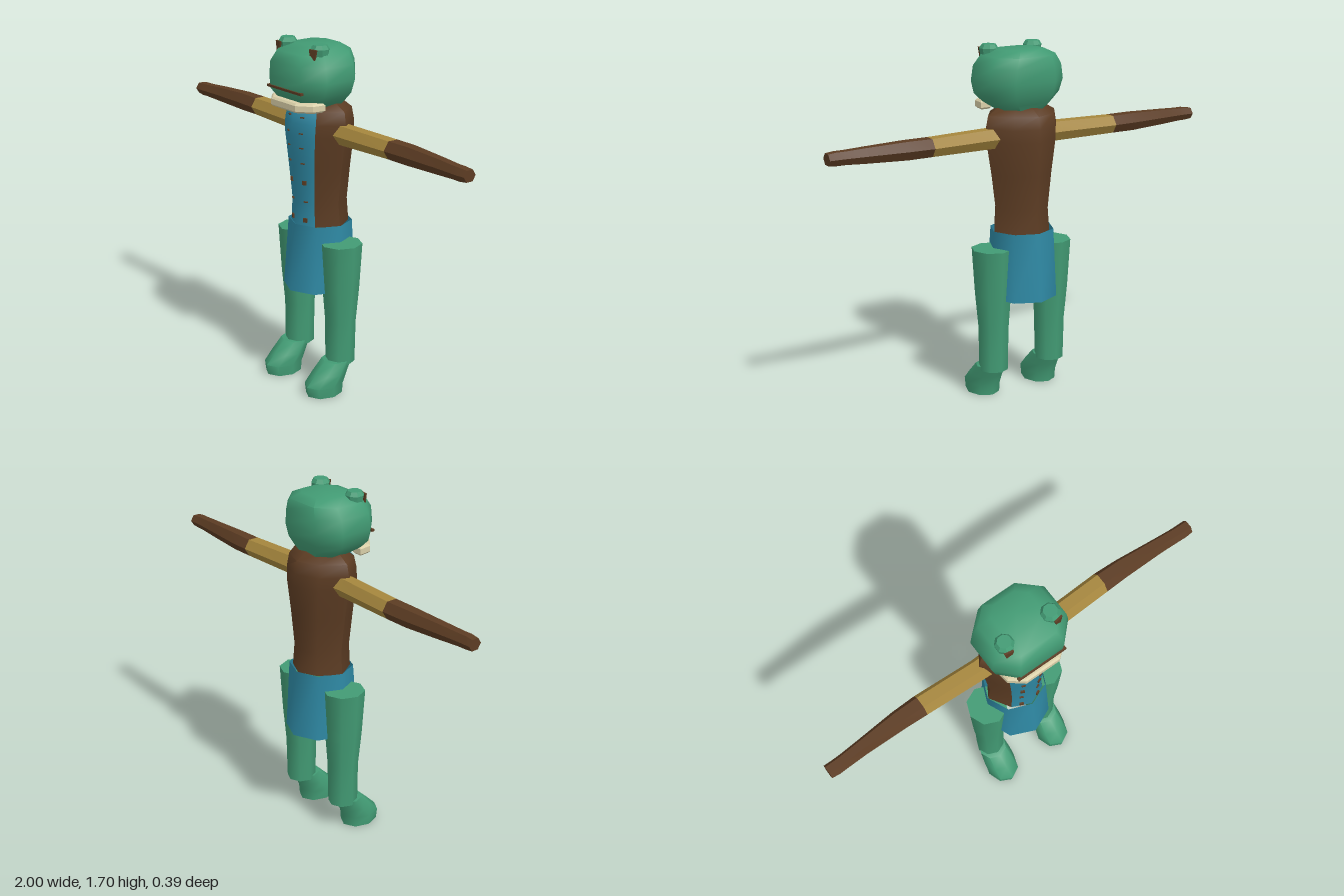
import * as THREE from 'three';
import { toCreasedNormals } from 'three/addons/utils/BufferGeometryUtils.js';

const material = (name, color, side = THREE.FrontSide) => {
  const m = new THREE.MeshStandardMaterial({ color, side });
  m.name = name;
  return m;
};

// Regular plan of n corners, starting at the front and turning towards +x
const polygon = (n, start = 0) => Array.from({ length: n }, (_, i) => {
  const a = start + (i / n) * Math.PI * 2;
  return [Math.sin(a), Math.cos(a)];
});

// Loft a plan through rings [y, centreX, halfWidth, zFront, zBack].
// The columns listed in "accent" use material 1, the rest material 0.
function loft(rings, plan, { caps = true, crease = 1, accent = [] } = {}) {
  const n = plan.length;
  const pts = rings.map(([y, cx, rx, zf, zb]) => plan.map(([u, w]) =>
    [cx + rx * u, y, (zf + zb) / 2 + ((zf - zb) / 2) * w]));
  const mid = ([y, cx, , zf, zb]) => [cx, y, (zf + zb) / 2];
  const parts = [[], []];
  for (let i = 0; i < n; i++) {
    const k = (i + 1) % n;
    const out = parts[accent.includes(i) ? 1 : 0];
    for (let j = 0; j + 1 < rings.length; j++) {
      const a = pts[j][i], b = pts[j][k], c = pts[j + 1][k], d = pts[j + 1][i];
      out.push(...a, ...b, ...c, ...a, ...c, ...d);
    }
    if (caps) {
      const top = pts[rings.length - 1];
      parts[0].push(...mid(rings[rings.length - 1]), ...top[i], ...top[k]);
      parts[0].push(...mid(rings[0]), ...pts[0][k], ...pts[0][i]);
    }
  }
  const g = new THREE.BufferGeometry();
  g.setAttribute('position', new THREE.Float32BufferAttribute(parts.flat(), 3));
  if (accent.length) {
    const count = parts[0].length / 3;
    g.addGroup(0, count, 0);
    g.addGroup(count, parts[1].length / 3, 1);
  }
  return toCreasedNormals(g, crease);
}

export function createModel() {
  const model = new THREE.Group();
  model.name = 'frogFigure';
  const green = material('skinGreen', 0x429b74);
  const brown = material('coatBrown', 0x5c3c23);
  const blue = material('clothBlue', 0x2e88a3, THREE.DoubleSide);
  const gold = material('sleeveGold', 0xa5863d);
  const cream = material('collarCream', 0xd9cfa8);
  const add = (name, geometry, mat, parent = model) => {
    const m = new THREE.Mesh(geometry, mat);
    m.name = name;
    parent.add(m);
    return m;
  };

  const octagon = polygon(8);

  // Coat with a blue front panel
  const bodyPlan = octagon.map(([u, w], i) => [i % 2 ? u * 0.84 : u, w]);
  add('torso', loft([
    [0.82, 0, 0.153, 0.125, -0.16],
    [0.93, 0, 0.143, 0.122, -0.153],
    [1.1, 0, 0.165, 0.137, -0.166],
    [1.26, 0, 0.192, 0.15, -0.18],
    [1.32, 0, 0.195, 0.145, -0.175],
    [1.38, 0, 0.183, 0.13, -0.163],
    [1.415, 0, 0.12, 0.08, -0.105],
  ], bodyPlan, { accent: [0, 7] }), [brown, blue]);

  // Open skirt
  add('skirt', loft([
    [0.495, 0, 0.168, 0.162, -0.192],
    [0.825, 0, 0.156, 0.13, -0.168],
  ], octagon, { caps: false }), blue);

  // Coat buttons in two columns
  const panelZ = (y) => y > 0.93 ? 0.122 + (Math.min(y, 1.26) - 0.93) * 0.085 - Math.max(0, y - 1.26) * 0.12 : 0.124;
  [1.35, 1.275, 1.205, 1.13, 1.035, 0.94, 0.85].forEach((y) => {
    const big = y === 1.035 || y === 0.85;
    for (const s of [-1, 1]) {
      const b = add('button', new THREE.BoxGeometry(0.02, big ? 0.02 : 0.005, 0.009), brown);
      b.position.set(s * 0.047, y, panelZ(y) - 0.018);
      b.rotation.y = s * 0.4;
    }
  });

  // Head
  const headPlan = [[0.58, 1], [1, 0.48], [1, -0.5], [0.53, -1],
    [-0.53, -1], [-1, -0.5], [-1, 0.48], [-0.58, 1]];
  add('head', loft([
    [1.4, 0, 0.11, 0.1, -0.1],
    [1.43, 0, 0.15, 0.16, -0.113],
    [1.47, 0, 0.187, 0.186, -0.13],
    [1.53, 0, 0.203, 0.187, -0.14],
    [1.6, 0, 0.192, 0.185, -0.14],
    [1.65, 0, 0.16, 0.16, -0.13],
    [1.678, 0, 0.1, 0.08, -0.09],
  ], headPlan), green);
  add('mouth', new THREE.BoxGeometry(0.255, 0.011, 0.015), brown).position.set(0, 1.483, 0.186);

  // Collar band bent around the chin
  const outline = [[-0.163, 0.08], [-0.155, 0.145], [-0.09, 0.198], [0.09, 0.198], [0.155, 0.145], [0.163, 0.08],
    [0.11, 0.08], [0.06, 0.13], [-0.06, 0.13], [-0.11, 0.08]];
  const collar = new THREE.ExtrudeGeometry(
    new THREE.Shape(outline.map(([x, z]) => new THREE.Vector2(x, -z))),
    { depth: 0.026, bevelEnabled: true, bevelSegments: 1, bevelThickness: 0.009, bevelSize: 0.009, bevelOffset: -0.009 });
  collar.rotateX(-Math.PI / 2);
  add('collar', collar, cream).position.y = 1.4;

  // Eye pupil, wide at the top
  const pupilShape = new THREE.Shape([[-0.022, 0.022], [-0.012, -0.026], [0.012, -0.026], [0.022, 0.022]]
    .map(([x, y]) => new THREE.Vector2(x, y)));

  for (const s of [-1, 1]) {
    const side = s > 0 ? 'left' : 'right';
    const part = (name, rings, plan, mat, options) => add(side + name, loft(rings, plan, options), mat);

    // Eyes
    part('Eye', [
      [1.6, s * 0.12, 0.035, 0.105, 0.04],
      [1.65, s * 0.12, 0.04, 0.118, 0.037],
      [1.678, s * 0.12, 0.045, 0.123, 0.033],
      [1.697, s * 0.12, 0.033, 0.11, 0.045],
    ], polygon(8, Math.PI / 8), green, { crease: 0.6 });
    const pupil = add(side + 'Pupil', new THREE.ExtrudeGeometry(pupilShape, { depth: 0.009, bevelEnabled: false }), brown);
    pupil.position.set(s * 0.128, 1.658, 0.119);
    pupil.rotation.y = s * 0.2;

    // Arms: hexagonal lofts laid along x
    const arm = (name, stations, mat) => {
      const rings = stations.map(([x, h, zf, zb]) => [x, -s * 1.275, h / 0.866, zf, zb]);
      const g = loft(rings, polygon(6), { crease: 0.3 });
      add(side + name, g.rotateZ(-s * Math.PI / 2), mat);
    };
    arm('Sleeve', [[0.15, 0.045, 0.035, -0.075], [0.2, 0.045, 0.033, -0.073], [0.5, 0.041, 0.02, -0.086]], gold);
    arm('Forearm', [[0.5, 0.041, 0.02, -0.086], [0.62, 0.042, 0.015, -0.082], [0.82, 0.035, 0.013, -0.064]], brown);
    arm('Hand', [[0.82, 0.035, 0.013, -0.064], [0.92, 0.03, 0.016, -0.056], [0.96, 0.03, 0.018, -0.055], [1, 0.026, 0.014, -0.055]], brown);

    // Legs and feet
    part('Leg', [
      [0.14, s * 0.16, 0.07, 0.056, -0.087],
      [0.35, s * 0.16, 0.075, 0.056, -0.09],
      [0.52, s * 0.162, 0.088, 0.072, -0.105],
      [0.745, s * 0.165, 0.098, 0.086, -0.118],
    ], octagon, green);
    part('Foot', [
      [0, s * 0.163, 0.078, 0.18, -0.01],
      [0.05, s * 0.163, 0.081, 0.188, -0.015],
      [0.1, s * 0.163, 0.079, 0.138, -0.035],
      [0.156, s * 0.163, 0.072, 0.08, -0.06],
    ], octagon, green);
  }
  return model;
}
